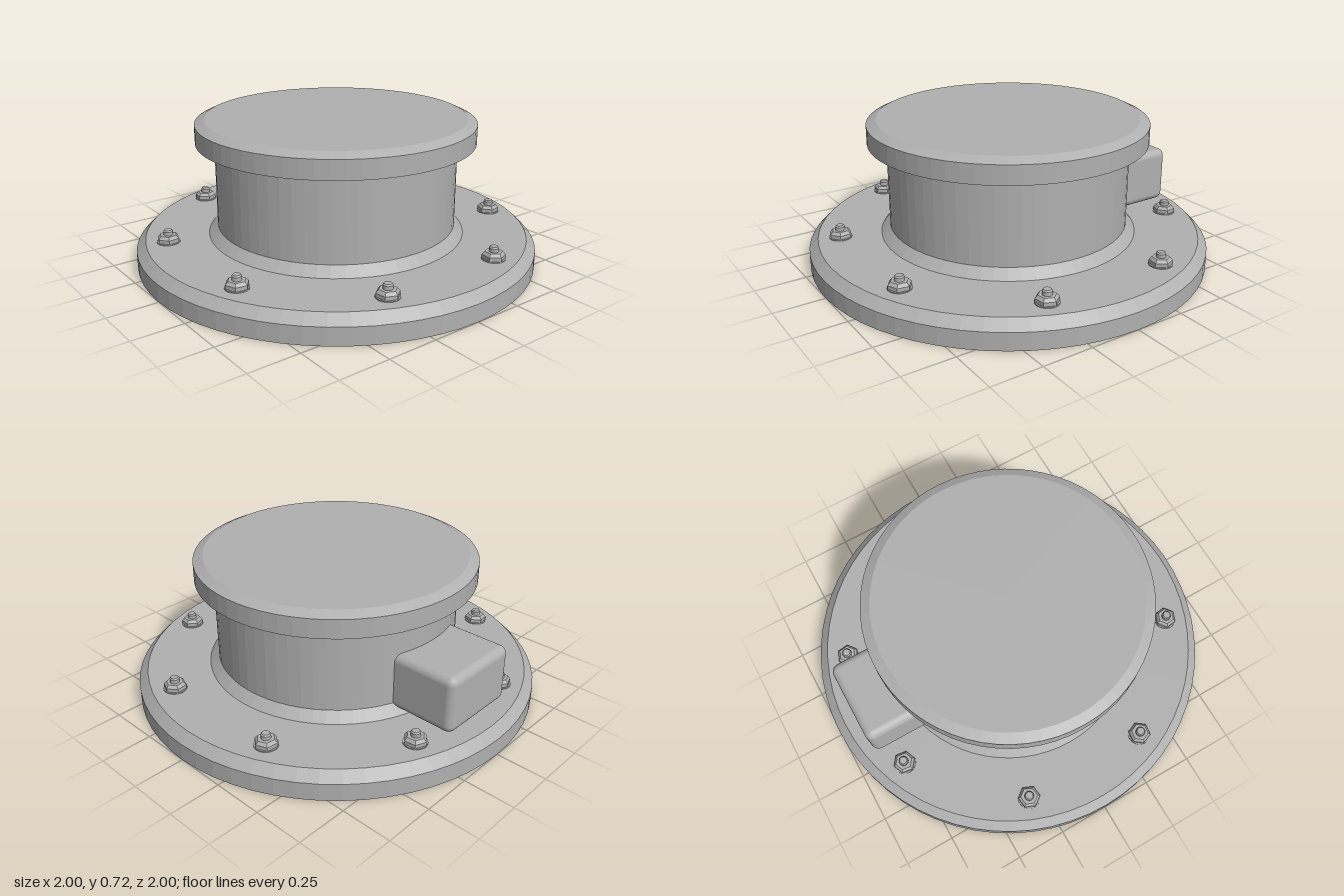
import * as THREE from 'three';
import { RoundedBoxGeometry } from 'three/addons/geometries/RoundedBoxGeometry.js';

const SEGMENTS = 64;

export function createModel() {
  const group = new THREE.Group();
  const steel = new THREE.MeshStandardMaterial({ color: 0xb0b0b0 });
  steel.name = 'greySteel';

  // Flat facets with crisp edges
  const faceted = (geometry) => {
    const flat = geometry.index ? geometry.toNonIndexed() : geometry;
    flat.computeVertexNormals();
    return flat;
  };
  const add = (name, geometry, parent = group) => {
    const mesh = new THREE.Mesh(geometry, steel);
    mesh.name = name;
    parent.add(mesh);
    return mesh;
  };
  // Turned part from [radius, height] pairs, bottom to top
  const turned = (profile, sides = SEGMENTS) =>
    faceted(new THREE.LatheGeometry(profile.map(([r, y]) => new THREE.Vector2(r, y)), sides));

  // Wide chamfered flange
  add('baseFlange', turned([[0, 0], [1, 0], [1, 0.087], [0.955, 0.132], [0, 0.132]]));
  // Sloped weld between flange and neck
  add('weldCollar', turned([[0.645, 0.13], [0.598, 0.178]]));
  add('neck', turned([[0.598, 0.13], [0.598, 0.6]]));
  // Lid, bevelled above and below
  add('lid', turned([[0, 0.575], [0.6, 0.575], [0.69, 0.6], [0.69, 0.693], [0.642, 0.716], [0, 0.716]]));

  // Rounded housing on the side of the neck
  const housing = add('sideHousing', new RoundedBoxGeometry(0.4, 0.285, 0.424, 4, 0.04));
  housing.position.set(-0.682, 0.29, 0);

  // Ring of eight bolts, each a washer, a hex nut and a stud
  const washer = turned([[0.056, 0.13], [0.056, 0.137], [0, 0.137]], 24);
  const nut = turned([[0.055, 0.137], [0.055, 0.155], [0.042, 0.17], [0, 0.17]], 6);
  const stud = turned([[0.023, 0.165], [0.023, 0.188], [0.018, 0.195], [0, 0.195]], 16);
  for (let i = 0; i < 8; i++) {
    const angle = ((i + 0.5) * Math.PI) / 4;
    const bolt = new THREE.Group();
    bolt.name = `flangeBolt${i + 1}`;
    bolt.position.set(0.845 * Math.cos(angle), 0, 0.845 * Math.sin(angle));
    bolt.rotation.y = -angle;
    add('washer', washer, bolt);
    add('hexNut', nut, bolt);
    add('stud', stud, bolt);
    group.add(bolt);
  }

  return group;
}
